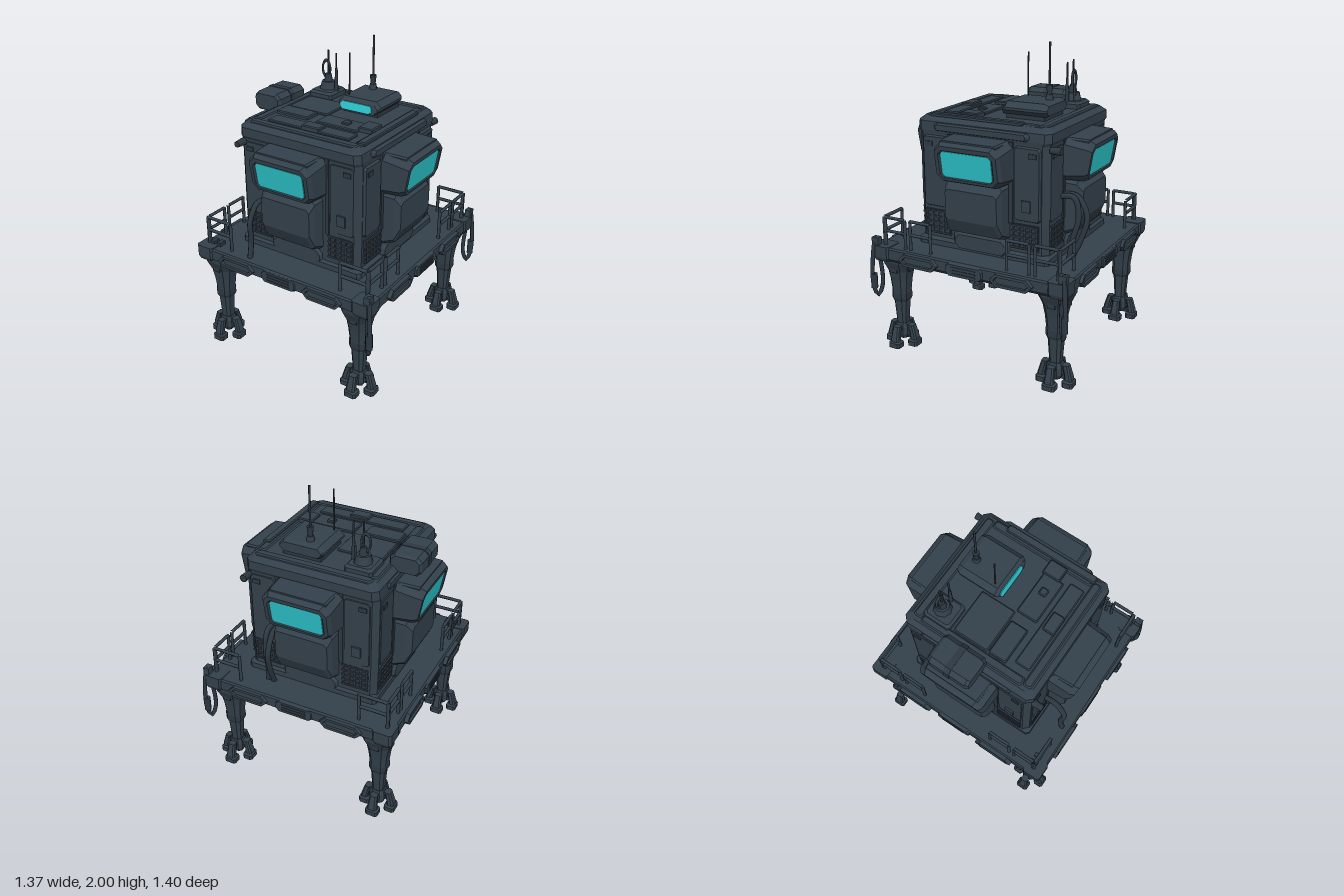
import * as THREE from 'three';

const hull = new THREE.MeshStandardMaterial({ color: 0x33404b });
const trim = new THREE.MeshStandardMaterial({ color: 0x2d3842 });
const glass = new THREE.MeshStandardMaterial({ color: 0x2cc8cf });
hull.name = 'hull slate'; trim.name = 'dark trim'; glass.name = 'cyan glass';

function add(parent, name, geo, mat = hull) {
  const m = new THREE.Mesh(geo, mat);
  m.name = name;
  parent.add(m);
  return m;
}

// Chamfered rectangle in XY at depth z, optionally leaning forward towards its top
function ring(w, h, c, z, cx = 0, cy = 0, lean = 0) {
  const a = w / 2, b = h / 2;
  return [[a, -b + c], [a, b - c], [a - c, b], [-a + c, b], [-a, b - c], [-a, -b + c], [-a + c, -b], [a - c, -b]]
    .map(([x, y]) => [x + cx, y + cy, z + y * lean]);
}

// Flat-faced skin through rings along +z, capped at both ends
function loft(rings) {
  const p = [], n = rings[0].length;
  for (let i = 0; i < rings.length - 1; i++) {
    const a = rings[i], b = rings[i + 1];
    for (let j = 0; j < n; j++) {
      const k = (j + 1) % n;
      p.push(...a[j], ...a[k], ...b[k], ...a[j], ...b[k], ...b[j]);
    }
  }
  const s = rings[0], e = rings[rings.length - 1];
  for (let j = 1; j < n - 1; j++) p.push(...s[0], ...s[j + 1], ...s[j], ...e[0], ...e[j], ...e[j + 1]);
  const g = new THREE.BufferGeometry();
  g.setAttribute('position', new THREE.Float32BufferAttribute(p, 3));
  g.computeVertexNormals();
  return g;
}
const tower = rings => loft(rings).rotateX(-Math.PI / 2);
const box = (w, h, d, x, y, z) => new THREE.BoxGeometry(w, h, d).translate(x, y, z);
// Chamfered block seen from above
const slab = (w, h, d, x, y, z, c = 0.015) => tower([
  ring(w, d, c, y - h / 2, x, -z), ring(w, d, c, y + h / 2 - c, x, -z),
  ring(w - 2 * c, d - 2 * c, c, y + h / 2, x, -z)]);
const rod = (r, y0, y1, x, z, r2 = r) => new THREE.CylinderGeometry(r2, r, y1 - y0, 8).translate(x, (y0 + y1) / 2, z);
function pipe(pts, r, closed = false) {
  const c = new THREE.CatmullRomCurve3(pts.map(q => new THREE.Vector3(...q)), closed);
  return new THREE.TubeGeometry(c, 28, r, 7, closed);
}
function bar(a, b, r) {
  return new THREE.TubeGeometry(new THREE.LineCurve3(new THREE.Vector3(...a), new THREE.Vector3(...b)), 1, r, 6);
}

// One cabin wall facing +z: window bay, lower bulge, panels and vents
function wall(shift) {
  const g = new THREE.Group();
  g.name = 'cabinWall';
  const L = 0.17, x = shift;
  add(g, 'windowBay', loft([
    ring(0.46, 0.26, 0.03, 0.43, x, 1.32), ring(0.45, 0.25, 0.045, 0.59, x, 1.315, L),
    ring(0.42, 0.22, 0.04, 0.618, x, 1.313, L), ring(0.37, 0.175, 0.025, 0.618, x, 1.308, L),
    ring(0.352, 0.165, 0.02, 0.606, x, 1.308, L)]));
  add(g, 'window', loft([ring(0.345, 0.161, 0.016, 0.605, x, 1.308, L), ring(0.345, 0.161, 0.016, 0.611, x, 1.308, L)]), glass);
  add(g, 'bayHood', loft([ring(0.4, 0.03, 0.01, 0.44, x, 1.44), ring(0.38, 0.03, 0.01, 0.6, x, 1.435)]));
  // Bulge leans back under its belly
  add(g, 'lowerBulge', loft([
    ring(0.4, 0.36, 0.02, 0.44, x, 1.01), ring(0.39, 0.33, 0.025, 0.528, x, 1.025),
    ring(0.36, 0.19, 0.02, 0.57, x, 1.045)]));
  add(g, 'bulgeLip', loft([ring(0.36, 0.1, 0.03, 0.44, x, 0.88), ring(0.33, 0.06, 0.02, 0.52, x, 0.895)]), trim);
  add(g, 'sillPlate', loft([ring(0.4, 0.12, 0.03, 0.44, x, 0.78), ring(0.36, 0.09, 0.03, 0.465, x, 0.77)]));
  for (const s of [-1, 1]) {
    add(g, 'sidePanel', loft([ring(0.18, 0.46, 0.015, 0.44, s * 0.32, 1.2), ring(0.165, 0.445, 0.015, 0.456, s * 0.32, 1.2)]));
    add(g, 'panelRib', box(0.025, 0.5, 0.02, s * 0.215, 1.2, 0.448), trim);
    // Vent lattice
    add(g, 'ventBack', box(0.18, 0.16, 0.01, s * 0.31, 0.87, 0.446), trim);
    for (let i = 0; i < 5; i++) {
      add(g, 'ventSlat', box(0.18, 0.01, 0.016, s * 0.31, 0.8 + i * 0.035, 0.452));
      add(g, 'ventBar', box(0.01, 0.15, 0.016, s * 0.31 + (i - 2) * 0.04, 0.87, 0.45));
    }
    add(g, 'boltPlate', box(0.05, 0.03, 0.012, s * 0.36, 1.38, 0.457), trim);
  }
  add(g, 'accessBox', box(0.06, 0.07, 0.02, 0.32, 1.07, 0.458));
  add(g, 'roofLip', loft([ring(0.66, 0.05, 0.015, 0.44, 0, 1.485), ring(0.62, 0.035, 0.012, 0.462, 0, 1.485)]));
  return g;
}

// One platform edge facing +z
function edge(reach) {
  const g = new THREE.Group();
  g.name = 'platformEdge';
  for (const s of [-1, 1]) {
    add(g, 'bumper', loft([ring(0.29, 0.085, 0.04, reach - 0.05, s * 0.33, 0.66), ring(0.28, 0.08, 0.038, reach, s * 0.33, 0.66),
      ring(0.23, 0.045, 0.02, reach, s * 0.33, 0.66), ring(0.22, 0.04, 0.018, reach - 0.012, s * 0.33, 0.66)]));
  }
  add(g, 'centreBracket', loft([ring(0.28, 0.095, 0.02, reach - 0.05, 0, 0.66), ring(0.25, 0.075, 0.02, reach - 0.012, 0, 0.66)]));
  for (const y of [0.64, 0.66, 0.68]) add(g, 'bracketSlot', box(0.17, 0.008, 0.008, 0, y, reach - 0.012), trim);
  return g;
}

// Tapered leg with a four-toed foot
function leg() {
  const g = new THREE.Group();
  g.name = 'leg';
  const q = (w, y) => ring(w, w, w * 0.22, y);
  add(g, 'legStrut', tower([q(0.06, 0.04), q(0.075, 0.18), q(0.095, 0.33), q(0.105, 0.36), q(0.125, 0.46), q(0.15, 0.53), q(0.21, 0.6), q(0.22, 0.7)]));
  add(g, 'kneeCollar', tower([q(0.1, 0.31), q(0.115, 0.33), q(0.115, 0.37), q(0.105, 0.39)]), trim);
  add(g, 'ankle', tower([q(0.07, 0.04), q(0.1, 0.07), q(0.1, 0.12), q(0.08, 0.15)]));
  for (let i = 0; i < 4; i++) {
    const toe = new THREE.Group();
    toe.name = 'toe';
    toe.rotation.y = i * Math.PI / 2;
    add(toe, 'toeArm', tower([ring(0.07, 0.05, 0.01, 0.0, 0, -0.095), ring(0.06, 0.045, 0.01, 0.06, 0, -0.09), ring(0.05, 0.04, 0.01, 0.138, 0, -0.07)]));
    add(toe, 'toePad', slab(0.085, 0.045, 0.07, 0, 0.0225, 0.088, 0.012));
    add(toe, 'toeLink', box(0.04, 0.03, 0.06, 0, 0.12, 0.045), trim);
    g.add(toe);
  }
  for (const [w, d] of [[0.17, 0.05], [0.05, 0.17]]) add(g, 'legBrace', box(w, 0.07, d, 0, 0.56, 0), trim);
  return g;
}

// Guard rail hoop between two floor points
function hoop(parent, a, b) {
  const r = 0.011, at = (p, y) => [p[0], y, p[1]];
  for (const p of [a, b]) add(parent, 'railPost', bar(at(p, 0.7), at(p, 0.905), r));
  for (const y of [0.9, 0.81]) add(parent, 'railBar', bar(at(a, y), at(b, y), r));
}

export function createModel() {
  const model = new THREE.Group();
  model.name = 'elevatedOutpost';

  // Platform
  add(model, 'deck', tower([ring(1.26, 1.3, 0.05, 0.61), ring(1.31, 1.36, 0.03, 0.635), ring(1.31, 1.36, 0.03, 0.7), ring(1.29, 1.34, 0.03, 0.71)]));
  add(model, 'underTray', box(0.78, 0.04, 0.84, 0, 0.6, 0));
  for (let i = 0; i < 4; i++) {
    const e = edge(i % 2 ? 0.68 : 0.7);
    e.rotation.y = i * Math.PI / 2;
    model.add(e);
  }
  for (const sx of [-1, 1]) for (const sz of [-1, 1]) {
    add(model, 'cornerBlock', tower([0.615, 0.64, 0.715].map((y, i) => {
      const w = i ? 0.13 : 0.11;
      return ring(w, w, 0.015, y, sx * 0.6, -sz * 0.625);
    })));
    const l = leg();
    l.position.set(sx * 0.535 - 0.008, 0, sz * 0.565);
    model.add(l);
    hoop(model, [sx * 0.61, sz * 0.62], [sx * 0.42, sz * 0.62]);
    hoop(model, [sx * 0.61, sz * 0.61], [sx * 0.61, sz * 0.46]);
    hoop(model, [sx * 0.61, sz * 0.42], [sx * 0.61, sz * 0.27]);
  }
  for (const x of [-0.58, -0.53]) add(model, 'deckCleat', box(0.03, 0.03, 0.05, x, 0.72, 0.6), trim);

  // Pods and fittings under the platform
  for (const [x, z, r] of [[-0.165, 0.28, 0.042], [-0.085, 0.22, 0.036], [0.065, -0.24, 0.05], [0.15, -0.24, 0.05]]) {
    add(model, 'podTop', new THREE.CylinderGeometry(r / 2, r, 0.035, 6).translate(x, 0.5375, z));
    add(model, 'podBottom', new THREE.CylinderGeometry(r, r / 2, 0.035, 6).translate(x, 0.5025, z));
    add(model, 'podHanger', box(0.03, 0.05, 0.03, x, 0.565, z), trim);
  }
  for (const [x, z, w, d] of [[-0.25, 0, 0.2, 0.3], [0.22, 0.02, 0.24, 0.2], [0, -0.32, 0.3, 0.1], [0, 0.34, 0.3, 0.1]]) {
    add(model, 'underPanel', box(w, 0.02, d, x, 0.577, z), trim);
  }

  // Cabin shell
  add(model, 'cabinSkirt', slab(0.91, 0.06, 0.93, 0, 0.735, 0, 0.02));
  const c = (w, d, y) => ring(w, d, 0.035, y, -0.005);
  add(model, 'cabin', tower([c(0.88, 0.9, 0.72), c(0.89, 0.9, 0.95), c(0.89, 0.9, 1.44), c(0.895, 0.925, 1.46), c(0.885, 0.925, 1.515), c(0.82, 0.86, 1.545)]));
  for (let i = 0; i < 4; i++) {
    const w = wall(i === 0 ? -0.018 : 0);
    w.rotation.y = i * Math.PI / 2;
    model.add(w);
  }

  // Roof rim and panels
  for (const s of [-1, 1]) {
    add(model, 'roofRim', slab(0.78, 0.02, 0.06, 0, 1.543, s * 0.39, 0.01));
    add(model, 'roofRim', slab(0.06, 0.02, 0.72, s * 0.375, 1.543, 0, 0.01));
  }
  for (const [w, d, x, z, h] of [[0.3, 0.24, -0.19, -0.04, 0.012], [0.24, 0.12, -0.22, 0.15, 0.02], [0.3, 0.14, 0.12, 0.15, 0.015],
    [0.1, 0.12, 0.31, 0.13, 0.03], [0.6, 0.1, 0, 0.3, 0.012], [0.13, 0.08, 0.02, 0.31, 0.03], [0.05, 0.05, 0.155, 0.15, 0.03], [0.05, 0.64, 0.395, 0.05, 0.02]]) {
    add(model, 'roofPanel', slab(w, h, d, x, 1.545 + h / 2, z, 0.006));
  }
  // Skylight housing with its sloped front strip
  add(model, 'skylightBase', box(0.26, 0.03, 0.26, 0.11, 1.555, -0.2), trim);
  add(model, 'skylightHousing', loft([ring(0.28, 0.06, 0.025, -0.35, 0.11, 1.605), ring(0.31, 0.085, 0.035, -0.32, 0.11, 1.605), ring(0.31, 0.085, 0.035, -0.07, 0.11, 1.605), ring(0.28, 0.06, 0.025, -0.045, 0.11, 1.597, -0.25)]));
  add(model, 'skylightStrip', loft([ring(0.23, 0.048, 0.015, -0.047, 0.095, 1.595, -0.25), ring(0.23, 0.048, 0.015, -0.039, 0.095, 1.595, -0.25)]), glass);

  // Antennas
  add(model, 'mastBase', rod(0.028, 1.64, 1.68, 0.075, -0.28, 0.022));
  add(model, 'mastKnob', rod(0.016, 1.68, 1.74, 0.075, -0.28, 0.022), trim);
  add(model, 'mast', rod(0.007, 1.73, 2.0, 0.075, -0.28), trim);
  add(model, 'whipAntenna', rod(0.005, 1.54, 1.92, 0.01, -0.1), trim);
  add(model, 'sensorBase', slab(0.18, 0.05, 0.19, -0.275, 1.565, -0.27));
  add(model, 'sensorDrum', rod(0.06, 1.585, 1.64, -0.275, -0.28, 0.045));
  add(model, 'sensorHead', rod(0.03, 1.64, 1.69, -0.275, -0.28, 0.02), trim);
  add(model, 'sensorLoop', new THREE.TorusGeometry(0.04, 0.009, 6, 16).scale(0.75, 1.4, 1).translate(-0.29, 1.72, -0.28), trim);
  add(model, 'sensorSpike', rod(0.006, 1.68, 1.85, -0.275, -0.28), trim);
  add(model, 'sideSpike', rod(0.014, 1.58, 1.74, -0.205, -0.27, 0.009), trim);
  add(model, 'sideSpikeTip', rod(0.006, 1.74, 1.84, -0.205, -0.27), trim);
  add(model, 'shortSpike', rod(0.008, 1.58, 1.7, -0.235, -0.31), trim);

  // Overhanging equipment case on the roof edge
  add(model, 'equipmentCase', loft([ring(0.18, 0.1, 0.025, -0.17, -0.49, 1.56), ring(0.205, 0.125, 0.03, -0.15, -0.49, 1.56), ring(0.205, 0.125, 0.03, 0.1, -0.49, 1.56), ring(0.18, 0.1, 0.025, 0.12, -0.49, 1.56)]));
  add(model, 'caseBand', loft([ring(0.212, 0.132, 0.03, -0.05, -0.49, 1.56), ring(0.212, 0.132, 0.03, -0.01, -0.49, 1.56)]), trim);
  add(model, 'caseArm', box(0.1, 0.04, 0.12, -0.42, 1.49, -0.02), trim);

  // Wall lamps, feed hoses and hanging coils
  for (const s of [-1, 1]) {
    add(model, 'wallLamp', new THREE.CylinderGeometry(0.02, 0.025, 0.07, 8).rotateX(Math.PI / 2).translate(s * -0.41, 1.42, s * 0.49), trim);
    add(model, 'coil', pipe([[0.65, 0.765, s * 0.665], [0.668, 0.62, s * 0.682], [0.67, 0.44, s * 0.684], [0.65, 0.365, s * 0.665], [0.628, 0.44, s * 0.643], [0.634, 0.62, s * 0.649]], 0.014, true), trim);
    add(model, 'coilBinding', rod(0.022, 0.42, 0.52, 0.665, s * 0.68), trim);
    add(model, 'coilHook', box(0.04, 0.05, 0.05, 0.645, 0.745, s * 0.66));
  }
  add(model, 'feedHose', pipe([[-0.25, 1.05, 0.44], [-0.255, 1.07, 0.54], [-0.26, 0.97, 0.61], [-0.27, 0.82, 0.6], [-0.27, 0.7, 0.62]], 0.018), trim);
  for (const d of [0, 0.04]) {
    add(model, 'feedHose', pipe([[0.21 + d, 1.1, -0.44], [0.21 + d, 1.1, -0.54], [0.21 + d, 0.98, -0.61 + d], [0.22 + d, 0.84, -0.58 + d], [0.23 + d, 0.7, -0.52]], 0.018), trim);
  }
  return model;
}
